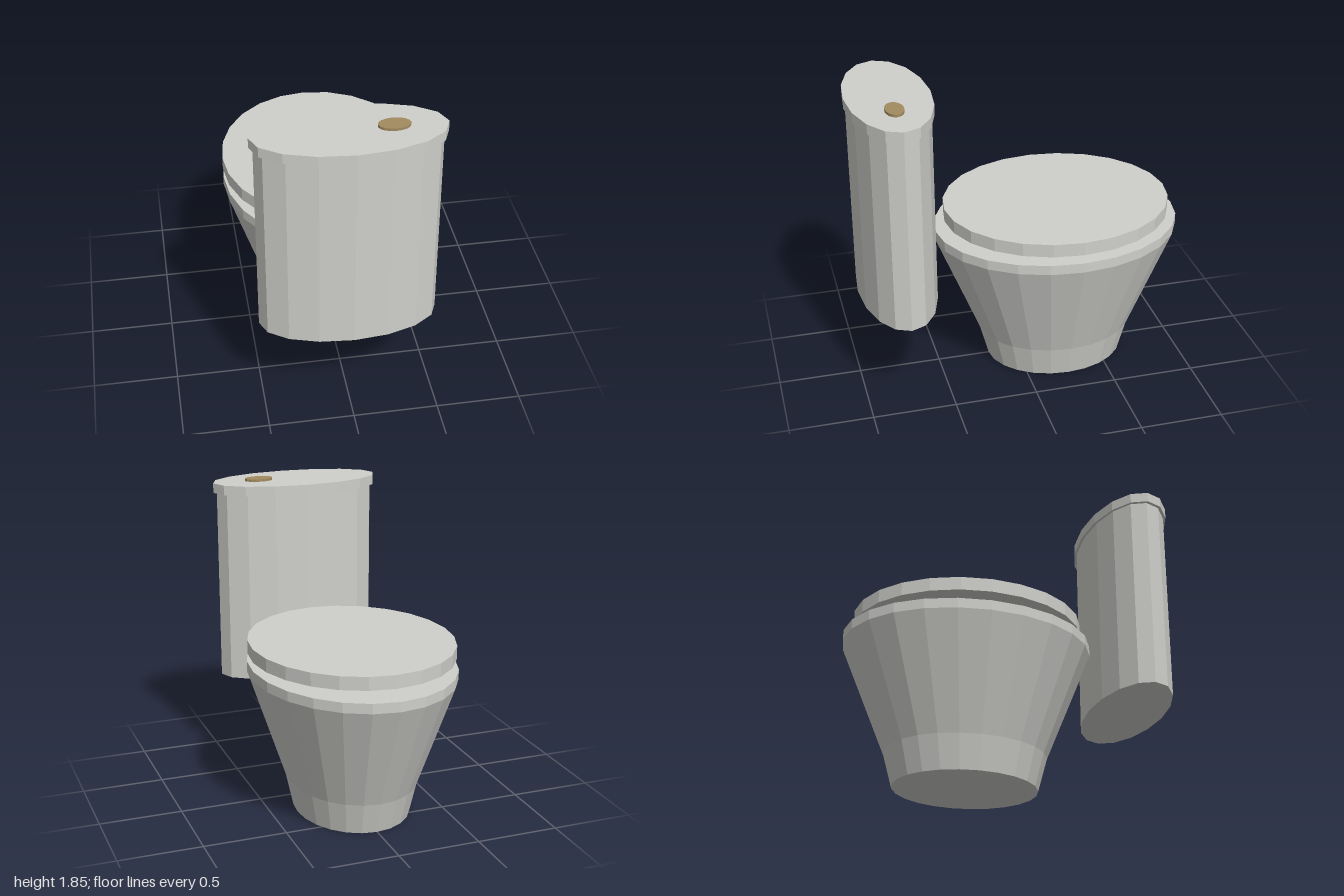
import * as THREE from 'three';

// Closed, faceted solid of revolution squashed to an ellipse.
// profile: [x radius, y] pairs from bottom to top; depth: z radius / x radius.
function ellipticSolid(name, profile, depth, segments, x, z, material) {
  const points = [[0, profile[0][1]], ...profile, [0, profile[profile.length - 1][1]]]
    .map(([r, y]) => new THREE.Vector2(r, y));
  const geometry = new THREE.LatheGeometry(points, segments).toNonIndexed();
  geometry.scale(1, 1, depth);
  geometry.computeVertexNormals(); // one normal per facet
  const mesh = new THREE.Mesh(geometry, material);
  mesh.name = name;
  mesh.position.set(x, 0, z);
  return mesh;
}

export function createModel() {
  const porcelain = new THREE.MeshStandardMaterial({ color: 0xcfd0cb });
  porcelain.name = 'porcelain';
  const brass = new THREE.MeshStandardMaterial({ color: 0xa38b5f });
  brass.name = 'brass';

  const model = new THREE.Group();
  model.name = 'toilet';
  model.add(
    // Tapered foot, flaring bowl and upright rim
    ellipticSolid('bowl', [[0.345, 0], [0.388, 0.2], [0.605, 0.865], [0.605, 0.925]],
      0.75 / 0.605, 24, 0, -0.25, porcelain),
    // Seat cover hovering over the rim
    ellipticSolid('seatCover', [[0.605, 0.98], [0.605, 1.06]],
      0.69 / 0.605, 24, 0, -0.25, porcelain),
    // Cistern with an overhanging lid
    ellipticSolid('tank', [[0.515, 0.575], [0.515, 1.775]],
      0.235 / 0.515, 16, 0, 0.75, porcelain),
    ellipticSolid('tankLid', [[0.537, 1.775], [0.537, 1.835]],
      0.25 / 0.537, 16, 0, 0.75, porcelain),
    // Flush button
    ellipticSolid('flushButton', [[0.09, 1.83], [0.09, 1.85]],
      0.055 / 0.09, 16, 0.24, 0.75, brass),
  );
  return model;
}
